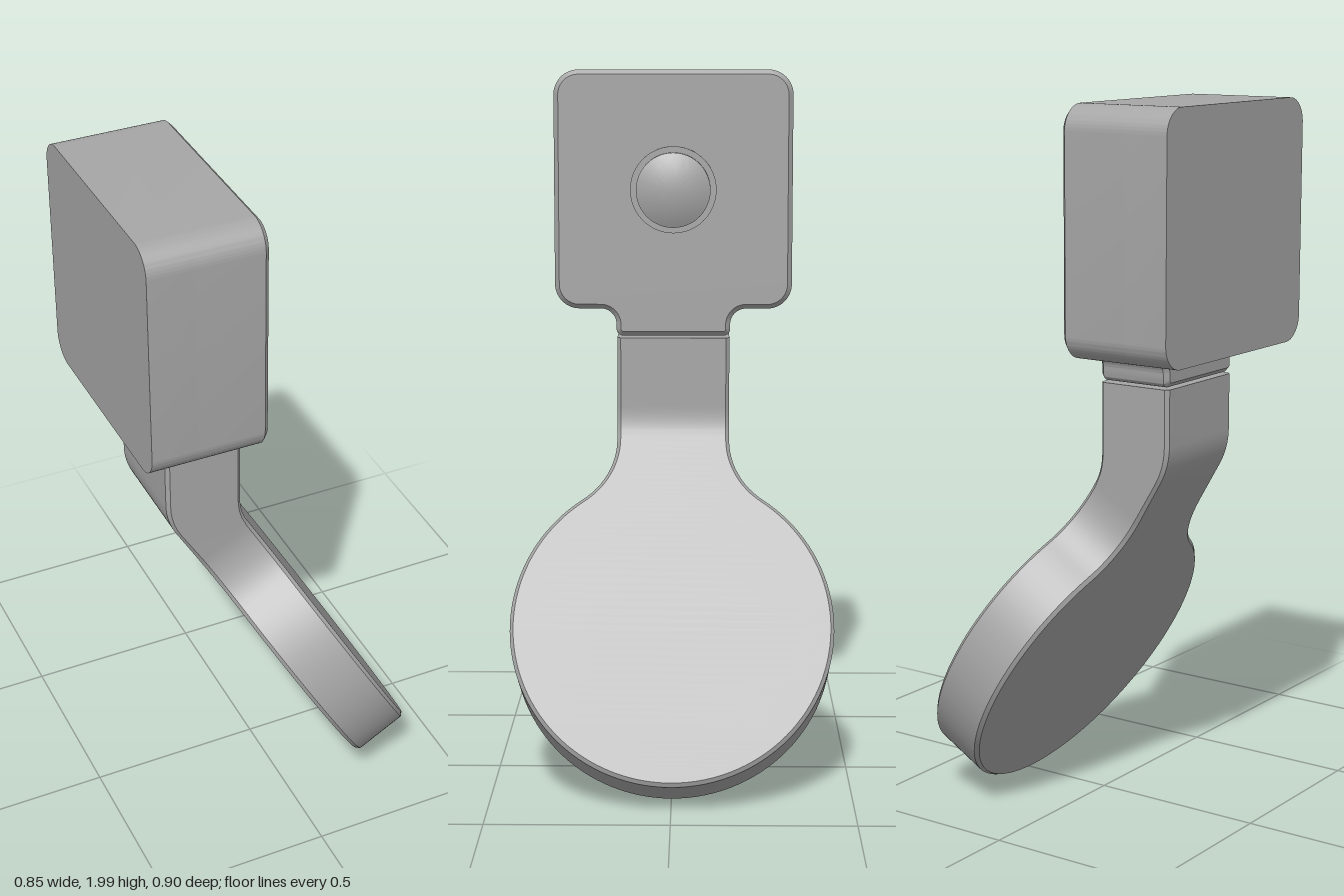
import * as THREE from 'three';
import { toCreasedNormals } from 'three/addons/utils/BufferGeometryUtils.js';

const grey = new THREE.MeshStandardMaterial({ color: 0xa6a6a6 });
grey.name = 'grey';

function part(name, geometry, crease = 0.45) {
  const mesh = new THREE.Mesh(toCreasedNormals(geometry, crease), grey);
  mesh.name = name;
  return mesh;
}

// Outline of the head in (z, y); the tab below it is optional
function headOutline(withTab) {
  const w = 0.337, lo = 1.328, hi = 2, r = 0.07;
  const s = new THREE.Shape();
  s.moveTo(w, lo + r);
  s.lineTo(w, hi - r);
  s.absarc(w - r, hi - r, r, 0, Math.PI / 2, false);
  s.absarc(-w + r, hi - r, r, Math.PI / 2, Math.PI, false);
  s.absarc(-w + r, lo + r, r, Math.PI, Math.PI * 1.5, false);
  if (withTab) {
    const t = 0.162, b = 1.25, f = 0.045, k = 0.02;
    s.absarc(-t - f, lo - f, f, Math.PI / 2, 0, true);
    s.absarc(-t + k, b + k, k, Math.PI, Math.PI * 1.5, false);
    s.absarc(t - k, b + k, k, Math.PI * 1.5, Math.PI * 2, false);
    s.absarc(t + f, lo - f, f, Math.PI, Math.PI / 2, true);
  }
  s.absarc(w - r, lo + r, r, Math.PI * 1.5, Math.PI * 2, false);
  return s;
}

// Extrude an outline from x0 to x1, with an optional chamfer
function extrudeX(shape, x0, x1, c) {
  const g = new THREE.ExtrudeGeometry(shape, {
    depth: x1 - x0 - 2 * c, curveSegments: 12, bevelEnabled: c > 0,
    bevelThickness: c, bevelSize: c, bevelOffset: -c, bevelSegments: 1,
  });
  return g.rotateY(Math.PI / 2).translate(x0 + c, 0, 0);
}

// Round paddle with a bent neck, lofted from bottom to top
function paddleGeometry() {
  const c = 0.01, R = 0.45, r = 0.219, neck = 0.16;
  const front = v => new THREE.Vector2(0.2 - 0.5 * v, 0.48 + 0.866 * v);
  const back = v => front(v).add(new THREE.Vector2(-0.15, -0.0866));
  const rings = [];
  const addRing = (f, b, w, fIn, bIn, wIn) => {
    const k = c / f.distanceTo(b);
    const half = [[fIn, wIn], [f.clone().lerp(b, k), w], [b.clone().lerp(f, k), w], [bIn, wIn]];
    const ring = half.map(([p, z]) => [p.x, p.y, z]);
    rings.push([...ring, ...ring.slice().reverse().map(([x, y, z]) => [x, y, -z])]);
  };
  const addFlat = (v, w, nv, nw) => {
    const vi = v - c * nv;
    addRing(front(v), back(v), w, front(vi), back(vi), Math.max(0, w - c * nw));
  };

  // Disc edge, then the concave fillets into the neck
  const cw = neck + r, cv = Math.sqrt((R + r) ** 2 - cw ** 2), join = Math.atan2(cv, cw);
  for (let i = 0; i <= 48; i++) {
    const a = -Math.PI / 2 + (join + Math.PI / 2) * i / 48;
    const s = Math.sin(a), k = i ? Math.cos(a) : 0;
    addFlat(R * s, R * k, s, k);
  }
  for (let i = 1; i <= 12; i++) {
    const a = Math.PI + join * (1 - i / 12);
    addFlat(cv + r * Math.sin(a), cw + r * Math.cos(a), -Math.sin(a), -Math.cos(a));
  }

  // Bend and upright end
  const V = (x, y) => new THREE.Vector2(x, y);
  const bendF = new THREE.QuadraticBezierCurve(front(0.56), V(-0.1, 1.0), V(-0.1, 1.05));
  const bendB = new THREE.QuadraticBezierCurve(back(0.68), V(-0.32, 1.034), V(-0.32, 1.09));
  const addNeck = (f, b) => addRing(f, b, neck, f, b, neck - c);
  for (let i = 0; i <= 10; i++) addNeck(bendF.getPoint(i / 10), bendB.getPoint(i / 10));
  addNeck(V(-0.1, 1.245), V(-0.32, 1.245));

  // Skin the rings and close the top
  const index = [], n = 8;
  for (let i = 0; i < rings.length - 1; i++) {
    for (let j = 0; j < n; j++) {
      const a = i * n + j, b = i * n + (j + 1) % n;
      index.push(a, a + n, b + n, a, b + n, b);
    }
  }
  const top = (rings.length - 1) * n;
  for (let k = 1; k < n - 1; k++) index.push(top, top + k + 1, top + k);
  const g = new THREE.BufferGeometry();
  g.setAttribute('position', new THREE.Float32BufferAttribute(rings.flat(2), 3));
  g.setIndex(index);
  return g;
}

// Domed button with a thin rim, turned about the x axis
function buttonGeometry() {
  const profile = [[0.122, -0.01], [0.122, 0.006], [0.105, 0.006], [0.105, 0.03]];
  for (let i = 1; i <= 8; i++) {
    const q = 1 - i / 8;
    profile.push([0.105 * q, 0.03 + 0.025 * (1 - q * q)]);
  }
  const g = new THREE.LatheGeometry(profile.map(p => new THREE.Vector2(...p)), 48);
  return g.rotateZ(-Math.PI / 2).translate(-0.1, 1.665, 0);
}

export function createModel() {
  const model = new THREE.Group();
  model.name = 'paddleSwitch';
  model.add(
    part('headBack', extrudeX(headOutline(false), -0.43, -0.3, 0)),
    part('headFrontWithTab', extrudeX(headOutline(true), -0.32, -0.1, 0.013)),
    part('button', buttonGeometry()),
    part('bentPaddle', paddleGeometry()),
  );
  return model;
}
